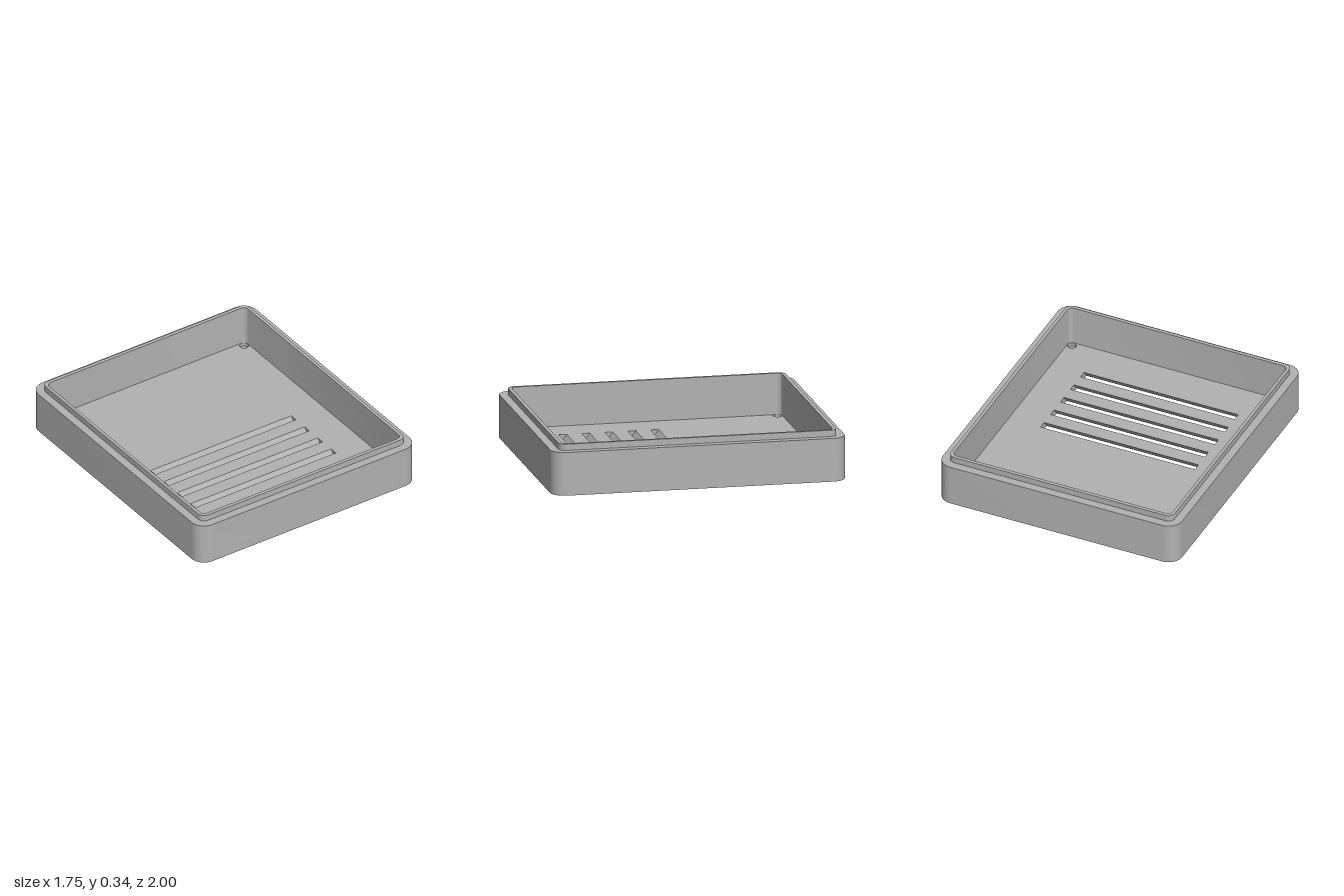
import * as THREE from 'three';
import { toCreasedNormals } from 'three/addons/utils/BufferGeometryUtils.js';

const FLOOR = 0.055, BORE = 0.03;        // floor thickness, counterbore depth
const SLOT_X = 0.565, SLOT_W = 0.055, PITCH = 0.156, SLANT = 0.042;
const VENT_BACK = -0.1, VENT_FRONT = 0.72;

// Rounded rectangle centred on the origin, given half sizes
function roundedRect(target, a, b, r) {
  target.absarc(a - r, b - r, r, 0, Math.PI / 2);
  target.absarc(r - a, b - r, r, Math.PI / 2, Math.PI);
  target.absarc(r - a, r - b, r, Math.PI, Math.PI * 1.5);
  target.absarc(a - r, r - b, r, Math.PI * 1.5, Math.PI * 2);
  target.closePath();
  return target;
}

const outline = () => roundedRect(new THREE.Shape(), 0.875, 1, 0.1);
const cavity = () => roundedRect(new THREE.Path(), 0.798, 0.918, 0.035);

export function createModel() {
  const group = new THREE.Group();
  const grey = new THREE.MeshStandardMaterial({ color: 0xb2b2b2 });
  grey.name = 'grey plastic';

  const add = (name, geometry) => {
    const mesh = new THREE.Mesh(toCreasedNormals(geometry, 0.5), grey);
    mesh.name = name;
    group.add(mesh);
  };

  // Horizontal slab of a plan shape between two heights
  const slab = (name, shape, y0, y1) => {
    const g = new THREE.ExtrudeGeometry(shape, { depth: y1 - y0, bevelEnabled: false, curveSegments: 12 });
    g.rotateX(-Math.PI / 2).translate(0, y0, 0);
    add(name, g);
  };

  // Floor plan with four screw holes and the vent opening
  const floorShape = (holeRadius) => {
    const shape = outline();
    for (const x of [-0.765, 0.765]) {
      for (const z of [-0.885, 0.885]) {
        shape.holes.push(new THREE.Path().absarc(x, z, holeRadius, 0, Math.PI * 2, true));
      }
    }
    shape.holes.push(new THREE.Path([
      [-SLOT_X, -VENT_BACK], [SLOT_X, -VENT_BACK], [SLOT_X, -VENT_FRONT], [-SLOT_X, -VENT_FRONT],
    ].map(([x, y]) => new THREE.Vector2(x, y))).closePath());
    return shape;
  };
  slab('floorUnderside', floorShape(0.053), 0, BORE);
  slab('floor', floorShape(0.03), BORE, FLOOR);

  // Side walls and the raised inner lip
  const walls = outline();
  walls.holes.push(cavity());
  slab('walls', walls, FLOOR, 0.295);
  const lip = roundedRect(new THREE.Shape(), 0.82, 0.943, 0.05);
  lip.holes.push(cavity());
  slab('lip', lip, 0.295, 0.338);

  // Floor bars that leave five slanted vent slots between them
  for (let i = 0; i <= 5; i++) {
    const next = -0.035 + PITCH * i;
    const previous = next - PITCH + SLOT_W;
    const back = i === 0 ? [VENT_BACK, VENT_BACK] : [previous + SLANT, previous];
    const front = i === 5 ? [VENT_FRONT, VENT_FRONT] : [next + SLANT, next];
    const section = new THREE.Shape([
      new THREE.Vector2(back[0], 0), new THREE.Vector2(front[0], 0),
      new THREE.Vector2(front[1], FLOOR), new THREE.Vector2(back[1], FLOOR),
    ]);
    const g = new THREE.ExtrudeGeometry(section, { depth: SLOT_X * 2, bevelEnabled: false });
    g.rotateY(-Math.PI / 2).translate(SLOT_X, 0, 0);
    add('ventBar' + (i + 1), g);
  }
  return group;
}
